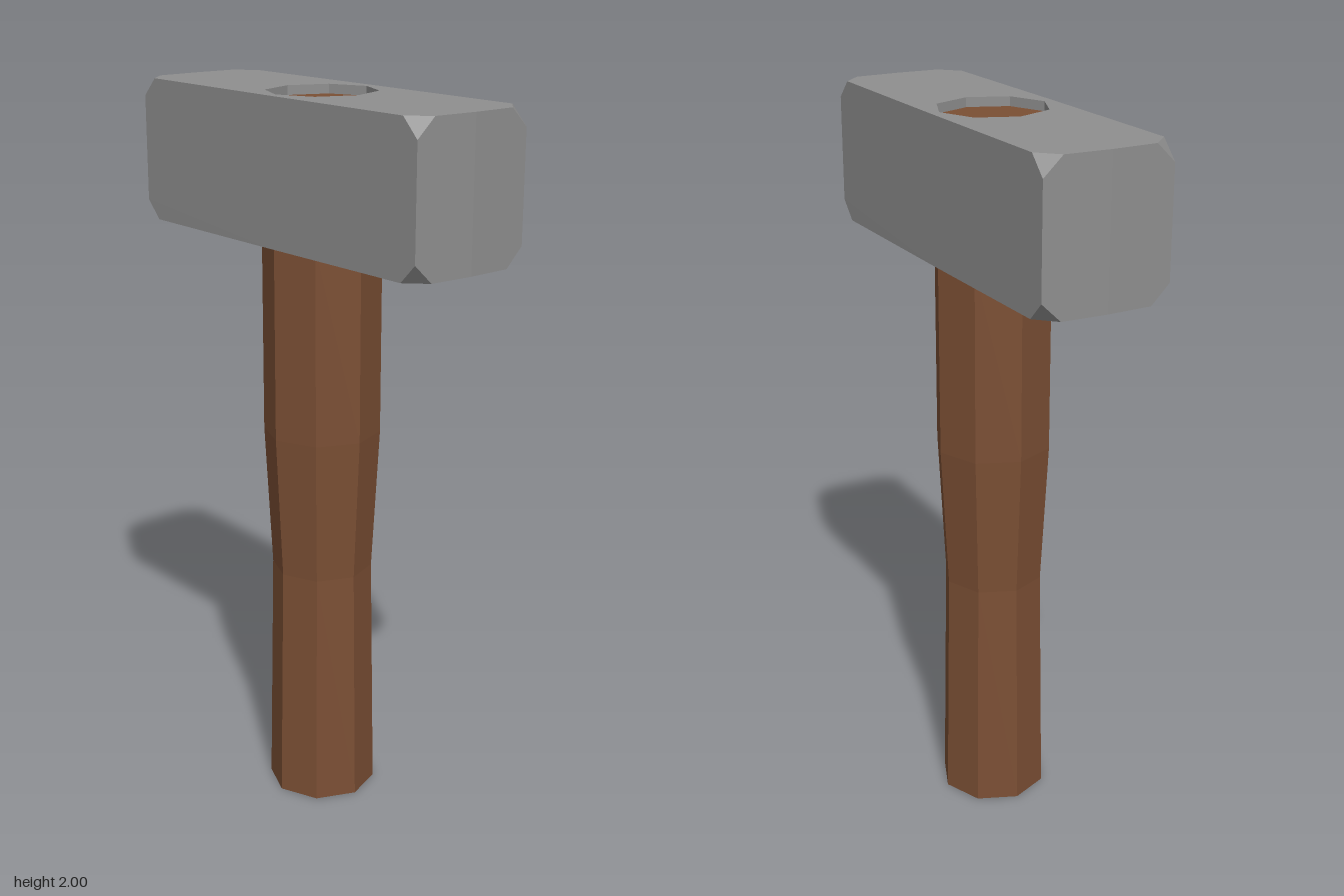
import * as THREE from 'three';

const steel = new THREE.MeshStandardMaterial({ color: 0x8f8f8f });
steel.name = 'steel grey';
const wood = new THREE.MeshStandardMaterial({ color: 0x7b4f34 });
wood.name = 'brown wood';

const BOTTOM = 1.61;

// gives every facet its own flat normal
function faceted(geometry) {
  const flat = geometry.index ? geometry.toNonIndexed() : geometry;
  flat.computeVertexNormals();
  return flat;
}

// Block with slightly crowned faces, clipped corners and an octagonal eye
function headGeometry() {
  const plan = new THREE.Shape([
    [0.179, 0], [0.177, 0.51], [0.125, 0.562], [0, 0.567], [-0.125, 0.562], [-0.177, 0.51],
    [-0.179, 0], [-0.177, -0.51], [-0.125, -0.562], [0, -0.567], [0.125, -0.562], [0.177, -0.51],
  ].map(([x, y]) => new THREE.Vector2(x, y)));
  const eye = [];
  for (let i = 0; i < 8; i++) {
    const a = -i * Math.PI / 4;
    eye.push(new THREE.Vector2(0.152 * Math.cos(a), 0.145 * Math.sin(a)));
  }
  plan.holes.push(new THREE.Path(eye));

  const geometry = new THREE.ExtrudeGeometry(plan, { depth: 3, steps: 3, bevelEnabled: false });
  geometry.rotateX(-Math.PI / 2);
  const heights = [0, 0.05, 0.34, 0.39];
  const p = geometry.attributes.position;
  for (let i = 0; i < p.count; i++) {
    const level = Math.round(p.getY(i));
    const x = p.getX(i), z = p.getZ(i);
    p.setY(i, BOTTOM + heights[level]);
    // between the clipped corners, both corner points meet in one square edge
    if ((level === 1 || level === 2) && Math.abs(z) > 0.5 && Math.abs(x) > 0.05) {
      p.setX(i, Math.sign(x) * 0.177);
      p.setZ(i, Math.sign(z) * 0.56);
    }
  }
  return faceted(geometry);
}

// Eight-sided waisted handle, ending just below the top of the eye
function handleGeometry() {
  const profile = [
    [0, 0], [0.152, 0], [0.14, 0.68], [0.161, 1.08], [0.161, 1.615], [0.149, 1.615], [0.149, 1.975], [0, 1.975],
  ].map(([r, y]) => new THREE.Vector2(r, y));
  const geometry = new THREE.LatheGeometry(profile, 8);
  // the tenon inside the eye is a little narrower front to back
  const p = geometry.attributes.position;
  for (let i = 0; i < p.count; i++) {
    if (p.getY(i) > 1.7) p.setZ(i, p.getZ(i) * 0.955);
  }
  return faceted(geometry);
}

export function createModel() {
  const hammer = new THREE.Group();
  hammer.name = 'hammer';
  const head = new THREE.Mesh(headGeometry(), steel);
  head.name = 'head';
  const handle = new THREE.Mesh(handleGeometry(), wood);
  handle.name = 'handle';
  hammer.add(head, handle);
  return hammer;
}
